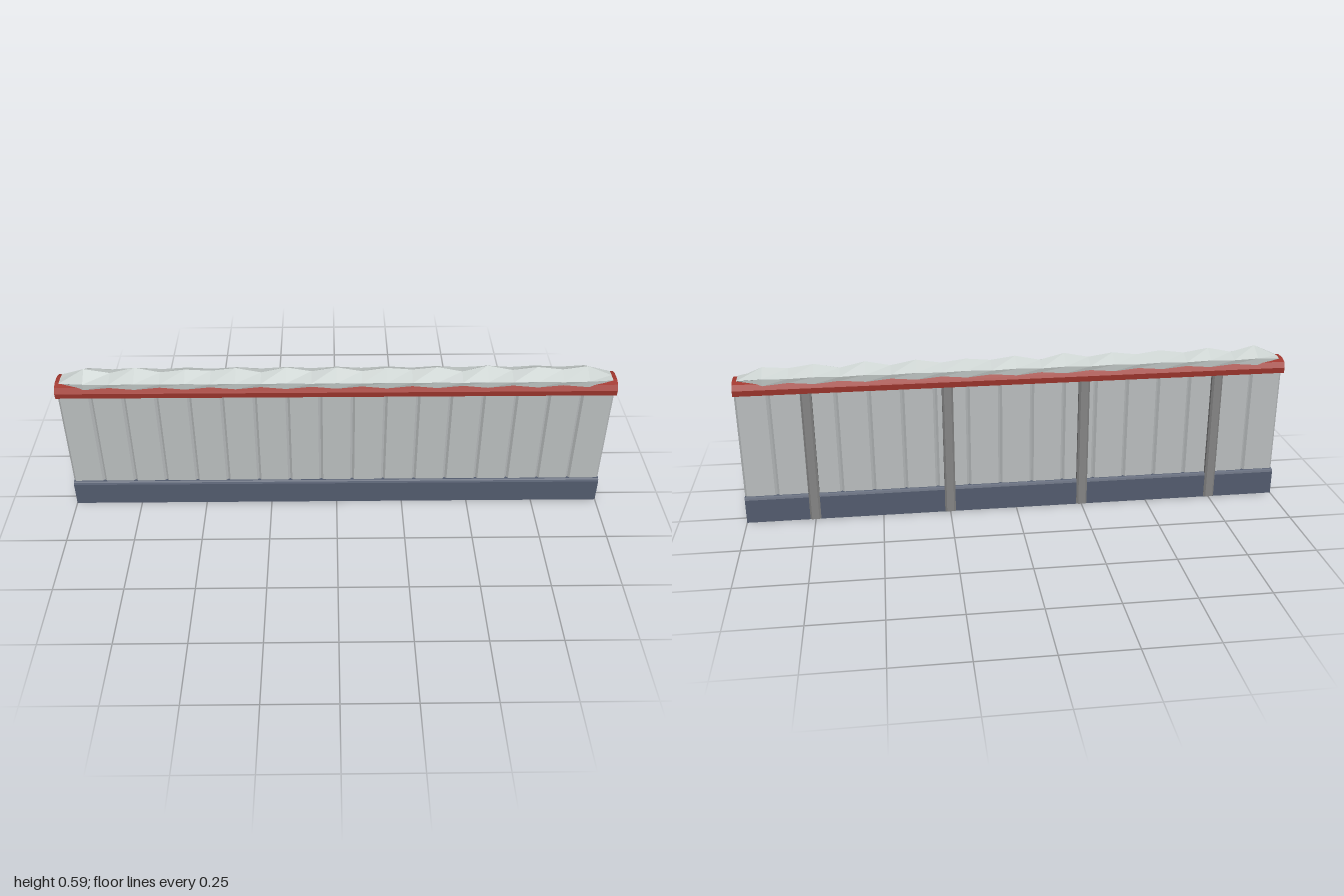
import * as THREE from 'three';

const mat = (name, color) => {
  const m = new THREE.MeshStandardMaterial({ color, flatShading: true });
  m.name = name;
  return m;
};

// Extrude a closed outline of [a, b] points to a given depth
function prism(points, depth) {
  const shape = new THREE.Shape(points.map(([a, b]) => new THREE.Vector2(a, b)));
  return new THREE.ExtrudeGeometry(shape, { depth, bevelEnabled: false });
}

// Prism along x, its outline given as [z, y]
function alongX(points, length) {
  const g = prism(points.map(([z, y]) => [-z, y]), length);
  g.rotateY(Math.PI / 2);
  g.translate(-length / 2, 0, 0);
  return g;
}

// Upright box with chamfered vertical edges
function chamferedColumn(w, d, c, height) {
  const x = w / 2, z = d / 2;
  const g = prism([[x - c, -z], [x, -z + c], [x, z - c], [x - c, z],
    [-x + c, z], [-x, z - c], [-x, -z + c], [-x + c, -z]], height);
  g.rotateX(-Math.PI / 2);
  return g;
}

// Wavy snow ridge lofted from six-sided cross-sections
function snowGeometry() {
  const n = 22, pos = [], index = [];
  for (let i = 0; i <= n; i++) {
    const x = -0.985 + 1.97 * i / n;
    const end = i === 0 || i === n;
    const wave = i % 2 ? 1 : 0;
    const drift = Math.sin(i * 2.3) * 0.003;
    const w = end ? 0.03 : 0.05 + 0.003 * wave;
    const peak = end ? 0.552 : 0.577 + 0.015 * wave + drift;
    const mid = end ? 0.55 : 0.557 + 0.004 * wave;
    const low = end ? 0.546 : 0.541 - 0.007 * wave;
    const ridge = Math.sin(i * 1.7) * 0.004;
    for (const [z, y] of [[ridge, peak], [w, mid], [w - 0.005, low],
      [0, 0.53], [-w + 0.005, low], [-w, mid]]) pos.push([x, y, z]);
  }
  for (let i = 0; i < n; i++) {
    for (let j = 0; j < 6; j++) {
      const a = i * 6 + j, b = i * 6 + (j + 1) % 6;
      index.push(a, b, a + 6, b, b + 6, a + 6);
    }
  }
  const last = n * 6;
  for (let j = 1; j < 5; j++) {
    index.push(0, j + 1, j, last, last + j, last + j + 1);
  }
  const g = new THREE.BufferGeometry();
  g.setAttribute('position', new THREE.Float32BufferAttribute(pos.flat(), 3));
  g.setIndex(index);
  const flat = g.toNonIndexed();
  flat.computeVertexNormals();
  return flat;
}

export function createModel() {
  const group = new THREE.Group();
  group.name = 'snowyFence';
  const panel = mat('panelGrey', 0xb9bdbe);
  const steel = mat('postGrey', 0x848484);
  const slate = mat('baseSlate', 0x525b6d);
  const red = mat('capRed', 0xa0372e);
  const snow = mat('snowWhite', 0xcad1cf);
  snow.side = THREE.DoubleSide;

  const add = (name, geometry, material, x = 0, y = 0, z = 0) => {
    const mesh = new THREE.Mesh(geometry, material);
    mesh.name = name;
    mesh.position.set(x, y, z);
    group.add(mesh);
    return mesh;
  };

  // Row of chamfered wall panels
  const count = 17, pitch = 2 / count;
  const panelGeo = chamferedColumn(pitch, 0.056, 0.008, 0.51);
  for (let i = 0; i < count; i++) {
    add('panel', panelGeo, panel, -1 + pitch * (i + 0.5), 0.002, 0);
  }

  // Support posts on the back
  const postGeo = chamferedColumn(0.04, 0.04, 0.007, 0.507);
  for (const x of [-0.75, -0.25, 0.25, 0.75]) add('backPost', postGeo, steel, x, 0.003, -0.028);

  // Base rails with rounded tops, front and back, and the sole plate between them
  const outline = [[-0.015, 0], [0.015, 0], [0.015, 0.09], [0.012, 0.097], [0.007, 0.101],
    [-0.007, 0.101], [-0.012, 0.097], [-0.015, 0.09]];
  const railGeo = alongX(outline, 2);
  add('frontBaseRail', railGeo, slate, 0, 0, 0.025);
  add('backBaseRail', railGeo, slate, 0, 0, -0.025);
  add('solePlate', new THREE.BoxGeometry(2, 0.002, 0.03), slate, 0, 0.001, 0);

  // Moulded cap along the top
  const half = [[0.051, 0.5], [0.054, 0.521], [0.044, 0.541], [0.02, 0.55]];
  const mirrored = half.map(([z, y]) => [-z, y]).reverse();
  add('topCap', alongX([...half, ...mirrored], 2), red);

  // Snow lying on the cap
  add('snow', snowGeometry(), snow);
  return group;
}
